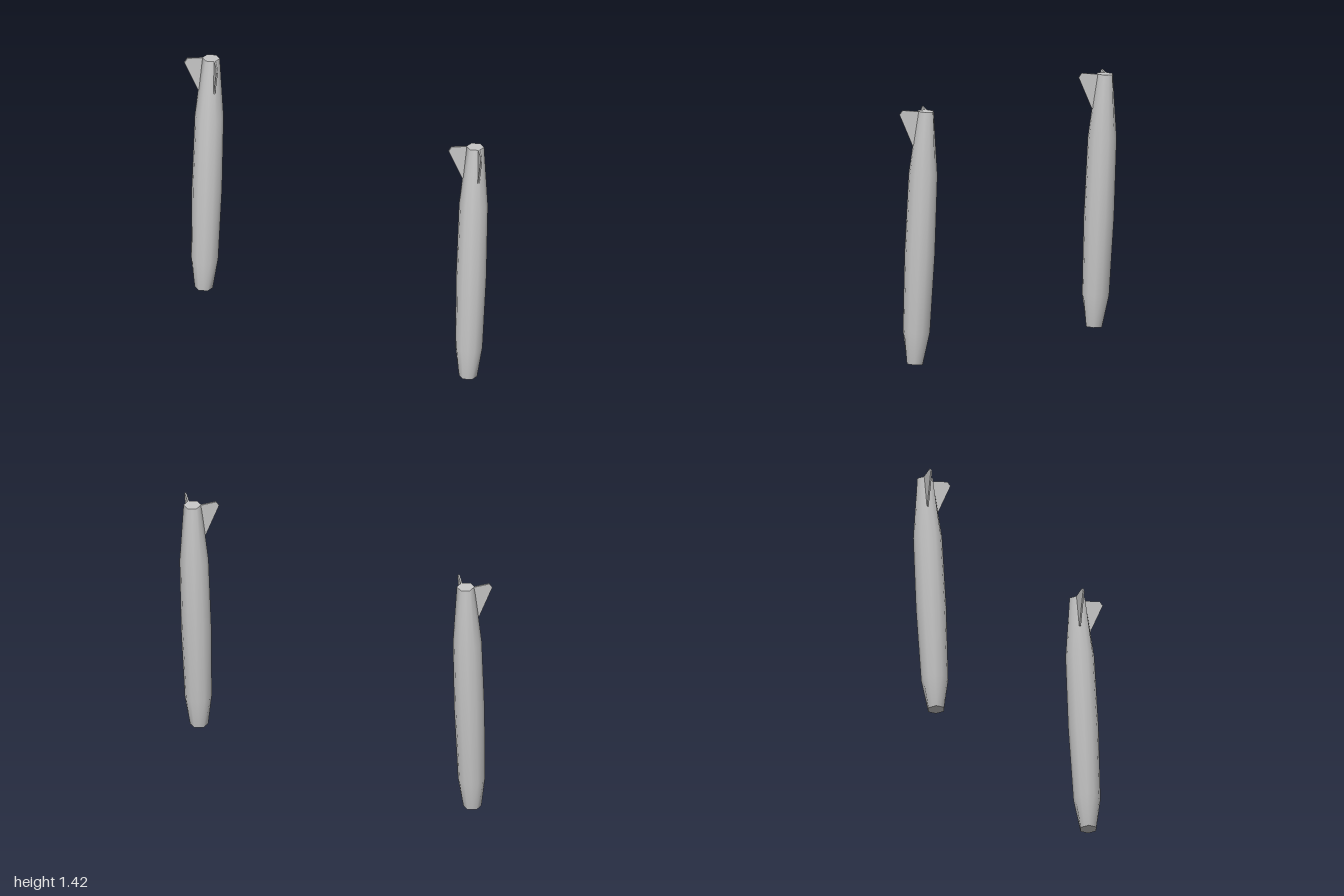
import * as THREE from 'three';

const SIDES = 12;
const TILT = 0.05;

// [height, radius, hexagonal end?]
const RINGS = [
  [0, 0.05, true],
  [0.18, 0.075, false],
  [0.62, 0.084, false],
  [1.06, 0.08, false],
  [1.415, 0.049, true],
];

// Smooth shell: twelve-sided in the middle, hexagonal at both ends
function shellGeometry() {
  const positions = [], index = [];
  RINGS.forEach(([y, radius, hex], j) => {
    for (let k = 0; k < SIDES; k++) {
      const a = (k / SIDES) * Math.PI * 2;
      const r = hex && k % 2 ? radius * Math.cos(Math.PI / 6) : radius;
      positions.push(Math.sin(a) * r, y, Math.cos(a) * r);
      if (j === 0) continue;
      const n = (k + 1) % SIDES, lo = (j - 1) * SIDES, hi = j * SIDES;
      index.push(lo + k, lo + n, hi + n, lo + k, hi + n, hi + k);
    }
  });
  const g = new THREE.BufferGeometry();
  g.setAttribute('position', new THREE.Float32BufferAttribute(positions, 3));
  g.setIndex(index);
  g.computeVertexNormals();
  return g;
}

// Flat hexagonal end cap
function capGeometry([y, radius], up) {
  return new THREE.CircleGeometry(radius, 6, Math.PI / 2)
    .rotateX(up ? -Math.PI / 2 : Math.PI / 2)
    .translate(0, y, 0);
}

// Thin tapered fin, measured outward from the shell edge
function finGeometry() {
  const outline = [[-0.008, 1.415], [0, 1.415], [0.085, 1.419], [0.101, 1.394], [0.021, 1.222], [0.012, 1.222]];
  const shape = new THREE.Shape(outline.map(([u, y]) => new THREE.Vector2(u, y)));
  return new THREE.ExtrudeGeometry(shape, { depth: 0.009, bevelEnabled: false }).translate(0, 0, -0.0045);
}

export function createModel() {
  const model = new THREE.Group();
  model.name = 'finnedTankPair';
  const grey = new THREE.MeshStandardMaterial({ color: 0xc8c8c8 });
  grey.name = 'lightGrey';

  const parts = {
    shell: shellGeometry(),
    bottomCap: capGeometry(RINGS[0], false),
    topCap: capGeometry(RINGS[RINGS.length - 1], true),
  };
  const finShape = finGeometry();

  for (const side of [1, -1]) {
    const tank = new THREE.Group();
    tank.name = side > 0 ? 'leftTank' : 'rightTank';
    for (const [name, geometry] of Object.entries(parts)) {
      const mesh = new THREE.Mesh(geometry, grey);
      mesh.name = name;
      tank.add(mesh);
    }

    // Two fins spread forward and outward
    const spread = THREE.MathUtils.degToRad(48);
    for (const s of [1, -1]) {
      const fin = new THREE.Mesh(finShape, grey);
      fin.name = s > 0 ? 'leftFin' : 'rightFin';
      fin.position.set(s * 0.0424, 0, 0.0245);
      fin.rotation.y = s > 0 ? -spread : Math.PI + spread;
      tank.add(fin);
    }

    tank.position.set(side * 0.887, 0.003, 0.034);
    tank.rotation.x = -TILT;
    model.add(tank);
  }
  return model;
}
